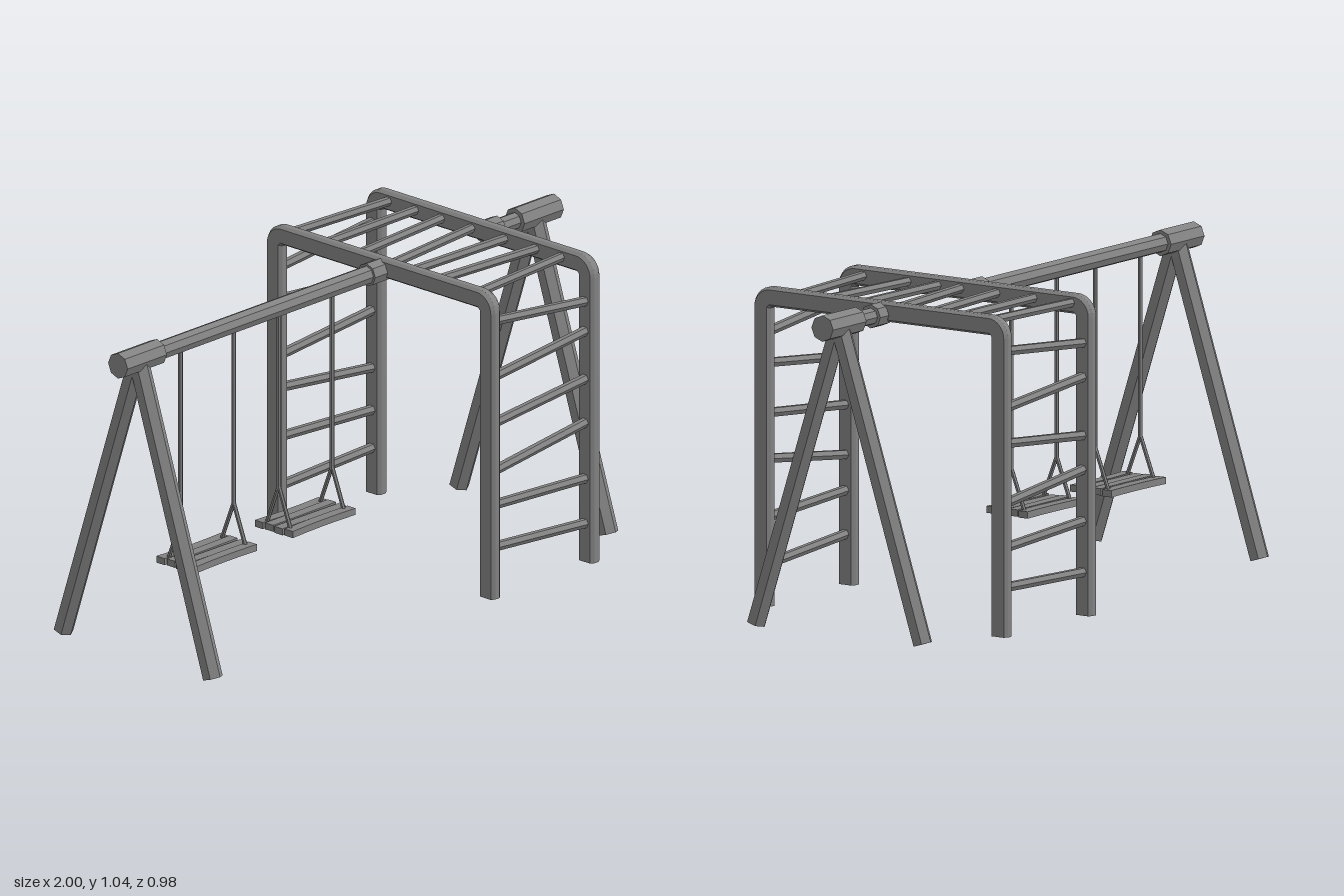
import * as THREE from 'three';

const material = new THREE.MeshStandardMaterial({ color: 0x828282, flatShading: true });

function add(parent, geometry, name) {
  const mesh = new THREE.Mesh(geometry, material);
  mesh.name = name;
  parent.add(mesh);
  return mesh;
}

// Straight faceted pole between two points
function pole(parent, name, from, to, radius, sides) {
  const a = new THREE.Vector3(...from);
  const b = new THREE.Vector3(...to);
  const mesh = add(parent, new THREE.CylinderGeometry(radius, radius, a.distanceTo(b), sides), name);
  mesh.position.copy(a).add(b).multiplyScalar(0.5);
  mesh.quaternion.setFromUnitVectors(new THREE.Vector3(0, 1, 0), b.sub(a).normalize());
  return mesh;
}

// Climbing arch: bent U outline, extruded with chamfered edges and flat feet
function archGeometry() {
  const bevel = 0.008, chamfer = 0.012;
  const outer = 0.489 - bevel, inner = 0.426 + bevel;
  const top = 1.037 - bevel, under = 0.974 + bevel, bottom = 0.017;
  const r = 0.06, k = 0.01;
  const s = new THREE.Shape();
  s.moveTo(outer, bottom);
  s.lineTo(outer, top - r);
  s.absarc(outer - r, top - r, r, 0, Math.PI / 2, false);
  s.lineTo(-outer + r, top);
  s.absarc(-outer + r, top - r, r, Math.PI / 2, Math.PI, false);
  s.lineTo(-outer, bottom);
  s.lineTo(-inner, bottom);
  s.lineTo(-inner, under - k);
  s.lineTo(-inner + k, under);
  s.lineTo(inner - k, under);
  s.lineTo(inner, under - k);
  s.lineTo(inner, bottom);
  s.closePath();
  const depth = 0.043 - 2 * chamfer;
  const g = new THREE.ExtrudeGeometry(s, {
    depth, curveSegments: 4, bevelEnabled: true,
    bevelSize: bevel, bevelThickness: chamfer, bevelSegments: 1,
  });
  const p = g.attributes.position;
  for (let i = 0; i < p.count; i++) p.setY(i, Math.max(p.getY(i), bottom));
  g.translate(0, 0, -depth / 2);
  g.rotateY(Math.PI / 2);
  return g;
}

// Seat slat, bowed slightly along its length
function slatGeometry(bow) {
  const g = new THREE.BoxGeometry(0.29, 0.022, 0.035, 4, 1, 1);
  const p = g.attributes.position;
  for (let i = 0; i < p.count; i++) {
    const t = p.getX(i) / 0.145;
    p.setZ(i, p.getZ(i) + bow * (1 - t * t));
  }
  g.computeVertexNormals();
  return g;
}

function createSwing(x) {
  const swing = new THREE.Group();
  swing.name = 'swing';
  for (const side of [-1, 1]) {
    const rx = side * 0.122;
    pole(swing, 'rope', [rx, 0.39, 0], [rx, 0.99, 0], 0.008, 6);
    for (const z of [-0.053, 0.053]) {
      pole(swing, 'ropeFork', [rx, 0.4, 0], [rx, 0.262, z], 0.007, 6);
    }
  }
  [-0.063, -0.021, 0.021, 0.063].forEach((z, i) => {
    const slat = add(swing, slatGeometry(-Math.sign(z) * (i % 3 ? 0.001 : 0.005)), 'seatSlat');
    slat.position.set(0, 0.261 + (i % 2 ? 0.002 : 0), z);
    slat.rotation.y = i % 2 ? 0.008 : -0.008;
  });
  swing.position.x = x;
  return swing;
}

export function createModel() {
  const model = new THREE.Group();
  model.name = 'playgroundSwingSet';
  const beamY = 0.997;
  const left = 0.218, right = 0.673;

  // Top beam, stopped at the climbing frame
  pole(model, 'swingBeam', [-0.85, beamY, 0], [left, beamY, 0], 0.03, 8);
  pole(model, 'shortBeam', [right, beamY, 0], [0.85, beamY, 0], 0.027, 8);

  // Thick sleeves on the beam
  for (const [a, b, r] of [[-1, -0.82, 0.042], [0.82, 1, 0.042], [0.14, left, 0.038], [right, 0.74, 0.038]]) {
    pole(model, 'beamSleeve', [a, beamY, 0], [b, beamY, 0], r, 8);
  }

  // Splayed end legs
  for (const x of [-0.907, 0.907]) {
    for (const side of [-1, 1]) {
      pole(model, 'endLeg', [x, 0.011, side * 0.321], [x, 0.985, side * 0.004], 0.0325, 6);
    }
  }

  for (const x of [-0.591, -0.14]) model.add(createSwing(x));

  // Climbing frame
  const frame = new THREE.Group();
  frame.name = 'climbingFrame';
  model.add(frame);
  for (const x of [left, right]) {
    add(frame, archGeometry(), 'arch').position.x = x;
  }

  // Uneven ladder rungs: heights at the two ends
  const frontRungs = [[0.935, 0.885], [0.745, 0.79], [0.59, 0.63], [0.43, 0.485], [0.32, 0.295], [0.18, 0.145]];
  const backRungs = [[0.885, 0.925], [0.78, 0.74], [0.59, 0.63], [0.485, 0.435], [0.32, 0.295], [0.155, 0.17]];
  for (const [rungs, z] of [[frontRungs, 0.458], [backRungs, -0.458]]) {
    for (const [y0, y1] of rungs) pole(frame, 'ladderRung', [left, y0, z], [right, y1, z], 0.016, 6);
  }

  // Overhead rungs: depths at the two ends
  const topRungs = [[-0.415, -0.385], [-0.27, -0.27], [-0.125, -0.16], [0.015, -0.03],
    [0.1, 0.115], [0.215, 0.25], [0.39, 0.355]];
  for (const [z0, z1] of topRungs) pole(frame, 'overheadRung', [left, 1.01, z0], [right, 1.01, z1], 0.015, 6);

  return model;
}
